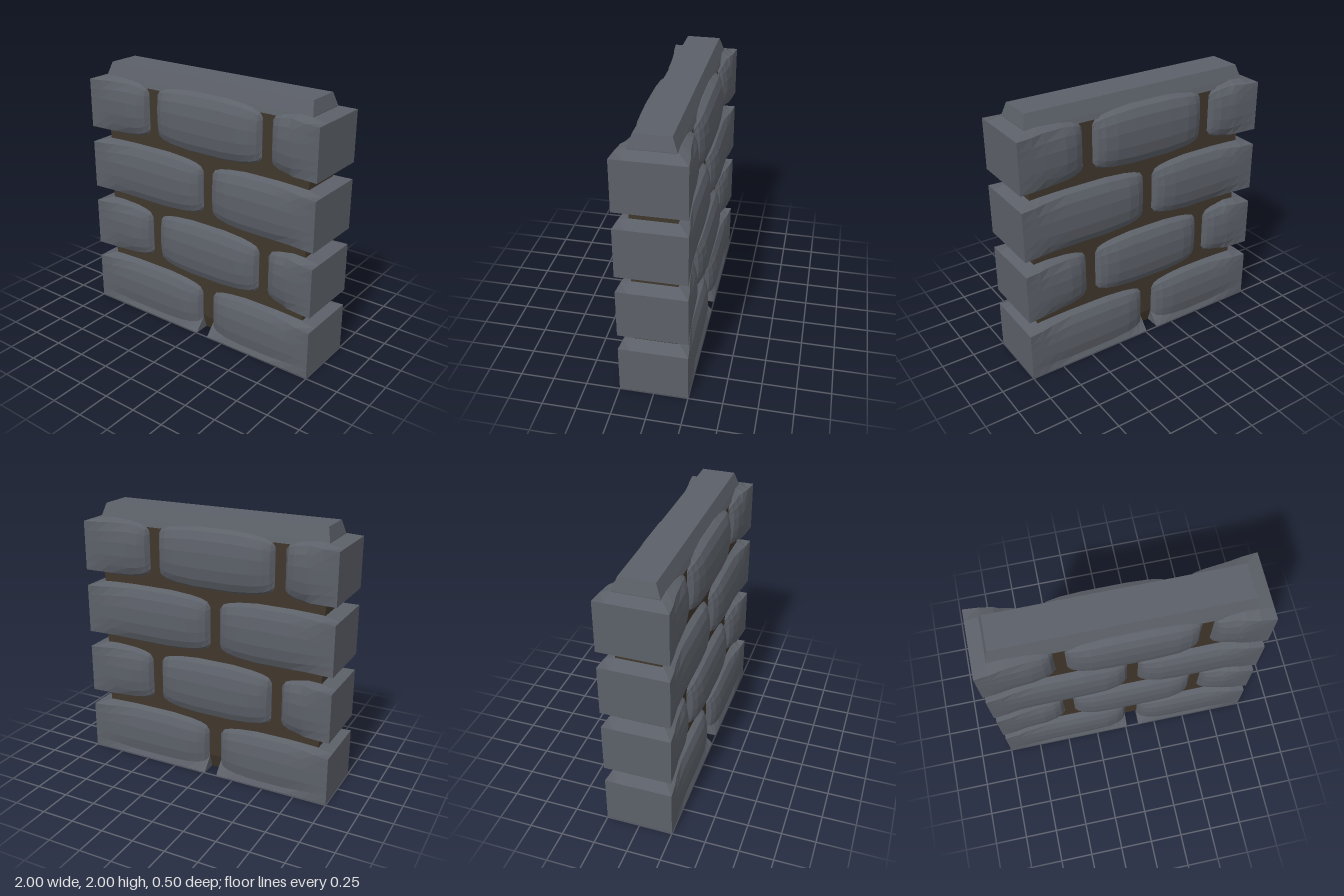
import * as THREE from 'three';

const stone = new THREE.MeshStandardMaterial({ color: 0x5c6068, flatShading: true });
stone.name = 'slate grey stone';
const mortar = new THREE.MeshStandardMaterial({ color: 0x40372c, flatShading: true });
mortar.name = 'brown mortar';

const H = 0.1875; // half height of a stone at its sawn end
const BASE = 0.165; // depth at which stones meet the mortar

// Half cross-section: rounded form [height, z] and square form [height, z]
const lower = [[-1, 0, -1, 0], [-1, BASE, -1, BASE], [-0.9, 0.207, -1, 0.25],
  [-0.64, 0.234, -0.6, 0.25], [-0.25, 0.248, -0.25, 0.25]];
const section = [...lower, ...lower.slice().reverse().map(([a, z, b, w]) => [-a, z, -b, w])];

// Stations by distance from an end: d, core half height, roundness, bulge
const outerEnd = [[0, H, 0, 1], [0.11, 0.215, 0.25, 1], [0.2, 0.22, 0.65, 1]];
const innerEnd = [[0, 0.14, 1, 0], [0.025, 0.178, 1, 0.45], [0.075, 0.197, 1, 0.75], [0.16, 0.212, 1, 0.95]];

function geometryFrom(points, index) {
  const g = new THREE.BufferGeometry();
  g.setAttribute('position', new THREE.Float32BufferAttribute(points, 3));
  g.setIndex(index);
  g.computeVertexNormals();
  return g;
}

// Pillow-faced stone reaching from the wall's middle plane to its face
function stoneGeometry(x0, x1, yMid, grounded) {
  const left = (x0 === -1 ? outerEnd : innerEnd).map(([d, ...r]) => [x0 + d, ...r]);
  const right = (x1 === 1 ? outerEnd : innerEnd).map(([d, ...r]) => [x1 - d, ...r]).reverse();
  const a = left[left.length - 1][0], b = right[0][0];
  const middle = b - a > 0.2 ? [0.25, 0.5, 0.75].map((t) => [a + (b - a) * t, 0.225, 1, 1]) : [];
  const stations = [...left, ...middle, ...right];
  const n = section.length, points = [], index = [];
  for (const [x, h, round, bulge] of stations) {
    section.forEach(([ry, rz, sy, sz], i) => {
      const square = grounded && i < 3; // bottom course stands on a flat base
      const s = square ? 0 : round;
      const half = square ? H : h;
      const k = square ? 1 : bulge;
      const isCore = i < 2 || i > n - 3;
      const y = isCore ? sy * half : THREE.MathUtils.lerp(sy * H, ry * half, s);
      const z = isCore ? rz : BASE + (THREE.MathUtils.lerp(sz, rz, s) - BASE) * k;
      points.push(x, Math.max(yMid + y, 0.004), z);
    });
  }
  const last = (stations.length - 1) * n;
  for (let j = 0; j < last; j += n) {
    for (let i = 0; i < n - 1; i++) {
      const p = j + i, q = p + n;
      index.push(p, q, q + 1, p, q + 1, p + 1);
    }
  }
  for (let i = 1; i < n - 1; i++) index.push(0, i, i + 1, last, last + i + 1, last + i);
  return geometryFrom(points, index);
}

// Block through rectangular levels [halfWidth, y, halfDepth], from bottom to top
function taperedBlock(levels) {
  const points = [], index = [];
  for (const [x, y, z] of levels) points.push(-x, y, z, x, y, z, x, y, -z, -x, y, -z);
  for (let l = 0; l < levels.length - 1; l++) {
    for (let i = 0; i < 4; i++) {
      const a = l * 4 + i, b = l * 4 + (i + 1) % 4;
      index.push(a, b, b + 4, a, b + 4, a + 4);
    }
  }
  const t = (levels.length - 1) * 4;
  index.push(0, 2, 1, 0, 3, 2, t, t + 1, t + 2, t, t + 2, t + 3);
  return geometryFrom(points, index);
}

export function createModel() {
  const wall = new THREE.Group();
  wall.name = 'stoneWall';
  const add = (parent, name, geometry, material) => {
    const mesh = new THREE.Mesh(geometry, material);
    mesh.name = name;
    parent.add(mesh);
  };

  // Mortar core, narrowing at the foot
  add(wall, 'mortarCore', taperedBlock([[0.875, 0, 0.125], [0.895, 0.12, 0.162], [0.895, 1.88, 0.162]]), mortar);

  // Coping ledge along the top
  add(wall, 'topLedge', taperedBlock([[0.9, 1.865, 0.172], [0.9, 1.905, 0.16], [0.875, 2, 0.125]]), stone);

  // Staggered courses; the back is the front turned half a circle
  const courses = [
    [[-1, 0.01], [0.11, 1]],
    [[-1, -0.48], [-0.4, 0.52], [0.6, 1]],
    [[-1, 0.02], [0.1, 1]],
    [[-1, -0.48], [-0.4, 0.52], [0.6, 1]],
  ];
  for (const side of ['front', 'back']) {
    const face = new THREE.Group();
    face.name = side + 'Stones';
    if (side === 'back') face.rotation.y = Math.PI;
    courses.forEach((row, r) => row.forEach(([x0, x1], i) => {
      add(face, `${side}StoneCourse${r + 1}Number${i + 1}`, stoneGeometry(x0, x1, r * 0.5 + H, r === 0), stone);
    }));
    wall.add(face);
  }
  return wall;
}
